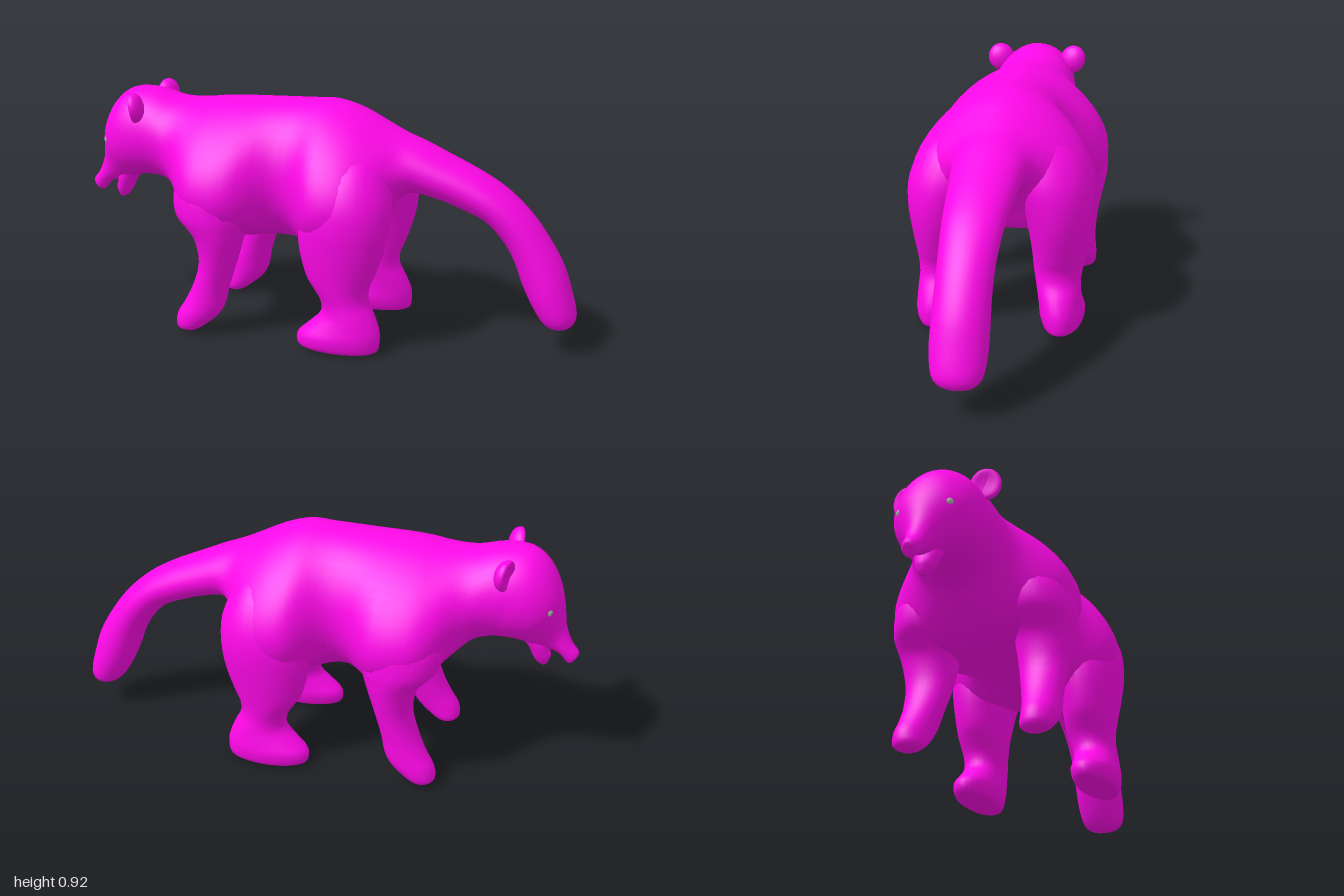
import * as THREE from 'three';

const skin = new THREE.MeshStandardMaterial({ color: 0xff08e8 });
const eyeMaterial = new THREE.MeshStandardMaterial({ color: 0xa0b0a0 });

// Skins rings { c: centre, u, v: half axes }; u x v points along the run of rings
function skinRings(rings, sides, shape = (p) => p) {
  const pos = [], index = [];
  for (const { c, u, v } of rings) {
    for (let j = 0; j < sides; j++) {
      const a = (j / sides) * Math.PI * 2;
      const p = c.clone().addScaledVector(u, Math.cos(a)).addScaledVector(v, Math.sin(a));
      pos.push(...shape(p, a).toArray());
    }
  }
  for (let i = 0; i < rings.length - 1; i++) {
    for (let j = 0; j < sides; j++) {
      const a = i * sides + j, b = i * sides + (j + 1) % sides;
      index.push(a, b, a + sides, b, b + sides, a + sides);
    }
  }
  // Closing fans
  const last = (rings.length - 1) * sides, n = rings.length * sides;
  pos.push(...rings[0].c.toArray(), ...rings[rings.length - 1].c.toArray());
  for (let j = 0; j < sides; j++) {
    const k = (j + 1) % sides;
    index.push(n, k, j, n + 1, last + j, last + k);
  }
  const g = new THREE.BufferGeometry();
  g.setAttribute('position', new THREE.Float32BufferAttribute(pos, 3));
  g.setIndex(index);
  g.computeVertexNormals();
  return g;
}

// Smoothly adds rows between the given cross-sections
function refine(rows, steps) {
  const out = [];
  const at = (i) => rows[Math.min(Math.max(i, 0), rows.length - 1)];
  for (let i = 0; i < rows.length - 1; i++) {
    for (let s = 0; s < steps; s++) {
      const t = s / steps;
      out.push(rows[i].map((p1, k) => {
        const p0 = at(i - 1)[k], p2 = at(i + 1)[k], p3 = at(i + 2)[k];
        return p1 + 0.5 * t * (p2 - p0 + t * (2 * p0 - 5 * p1 + 4 * p2 - p3 + t * (3 * (p1 - p2) + p3 - p0)));
      }));
    }
  }
  out.push(rows[rows.length - 1]);
  return out;
}

// Rows: top x, top y, bottom x, bottom y, half width
function spineLoft(rows, sides, steps, shape) {
  return skinRings(refine(rows, steps).map(([tx, ty, bx, by, w]) => ({
    c: new THREE.Vector3((tx + bx) / 2, (ty + by) / 2, 0),
    u: new THREE.Vector3((tx - bx) / 2, (ty - by) / 2, 0),
    v: new THREE.Vector3(0, 0, w),
  })), sides, shape);
}

// Rows: height, x from, x to, inner z, outer z
function legLoft(rows, side) {
  return skinRings(refine(rows, 3).map(([y, x0, x1, z0, z1]) => ({
    c: new THREE.Vector3((x0 + x1) / 2, y, side * (z0 + z1) / 2),
    u: new THREE.Vector3((x1 - x0) / 2, 0, 0),
    v: new THREE.Vector3(0, 0, -(z1 - z0) / 2),
  })), 28);
}

// Swells the flanks into shoulders and haunches, fuller towards the belly
function swellFlanks(p, a) {
  const bump = (x, r) => Math.exp(-Math.pow((p.x - x) / r, 4));
  const low = Math.max(0, (0.95 - Math.cos(a)) / 1.3);
  const out = Math.sign(Math.sin(a)) * Math.sqrt(Math.abs(Math.sin(a)));
  p.z += 0.135 * low * out * (bump(-0.37, 0.17) + bump(0.13, 0.168));
  return p;
}

// Snout, head, trunk and tail in one run
const BODY = [
  [-0.995, 0.505, -0.975, 0.48, 0.015],
  [-1.0, 0.525, -0.96, 0.478, 0.028],
  [-0.97, 0.565, -0.925, 0.515, 0.038],
  [-0.945, 0.63, -0.88, 0.53, 0.05],
  [-0.935, 0.7, -0.82, 0.545, 0.085],
  [-0.915, 0.78, -0.76, 0.565, 0.135],
  [-0.87, 0.865, -0.7, 0.567, 0.16],
  [-0.8, 0.918, -0.66, 0.56, 0.168],
  [-0.7, 0.922, -0.61, 0.54, 0.178],
  [-0.6, 0.897, -0.55, 0.49, 0.195],
  [-0.5, 0.895, -0.47, 0.43, 0.22],
  [-0.38, 0.908, -0.38, 0.4, 0.24],
  [-0.2, 0.915, -0.2, 0.38, 0.24],
  [-0.05, 0.92, -0.05, 0.367, 0.235],
  [0.05, 0.922, 0.05, 0.375, 0.24],
  [0.15, 0.893, 0.14, 0.39, 0.235],
  [0.25, 0.845, 0.22, 0.42, 0.205],
  [0.32, 0.812, 0.28, 0.52, 0.16],
  [0.4, 0.78, 0.35, 0.585, 0.138],
  [0.5, 0.735, 0.46, 0.57, 0.125],
  [0.62, 0.68, 0.55, 0.54, 0.115],
  [0.72, 0.62, 0.64, 0.5, 0.107],
  [0.81, 0.54, 0.71, 0.43, 0.1],
  [0.88, 0.45, 0.755, 0.355, 0.098],
  [0.94, 0.35, 0.79, 0.265, 0.1],
  [0.975, 0.25, 0.83, 0.185, 0.1],
  [0.998, 0.16, 0.868, 0.128, 0.088],
  [0.985, 0.118, 0.9, 0.106, 0.06],
  [0.96, 0.105, 0.93, 0.1, 0.02],
];

const JAW = [
  [-0.89, 0.468, -0.875, 0.453, 0.012],
  [-0.9, 0.498, -0.85, 0.465, 0.028],
  [-0.892, 0.52, -0.83, 0.495, 0.04],
  [-0.885, 0.555, -0.81, 0.535, 0.05],
  [-0.86, 0.61, -0.76, 0.585, 0.055],
];

const HIND_LEG = [
  [0.003, 0.03, 0.25, 0.2, 0.29],
  [0.015, -0.02, 0.292, 0.173, 0.318],
  [0.06, -0.025, 0.3, 0.157, 0.33],
  [0.1, 0.015, 0.295, 0.155, 0.325],
  [0.15, 0.065, 0.275, 0.15, 0.318],
  [0.2, 0.065, 0.25, 0.14, 0.315],
  [0.25, 0.035, 0.25, 0.13, 0.322],
  [0.3, 0.005, 0.27, 0.125, 0.33],
  [0.4, -0.02, 0.305, 0.11, 0.345],
  [0.5, -0.025, 0.323, 0.08, 0.356],
  [0.6, -0.01, 0.322, 0.04, 0.345],
  [0.7, 0.04, 0.285, 0.02, 0.295],
  [0.78, 0.1, 0.235, 0.01, 0.2],
];

const FRONT_LEG = [
  [0.012, -0.505, -0.45, 0.21, 0.27],
  [0.03, -0.53, -0.42, 0.185, 0.3],
  [0.08, -0.525, -0.36, 0.178, 0.31],
  [0.13, -0.495, -0.33, 0.17, 0.31],
  [0.2, -0.46, -0.315, 0.155, 0.31],
  [0.3, -0.43, -0.285, 0.135, 0.32],
  [0.4, -0.445, -0.255, 0.12, 0.34],
  [0.45, -0.485, -0.24, 0.11, 0.35],
  [0.5, -0.525, -0.225, 0.09, 0.356],
  [0.6, -0.53, -0.22, 0.06, 0.345],
  [0.7, -0.48, -0.27, 0.03, 0.28],
];

// Rounded ear, hollowed on its forward face
function earGeometry() {
  const g = new THREE.SphereGeometry(1, 20, 14);
  const p = g.attributes.position;
  for (let i = 0; i < p.count; i++) {
    const r = Math.hypot(p.getY(i), p.getZ(i));
    if (p.getX(i) < 0) p.setX(i, p.getX(i) + 0.9 * Math.max(0, 1 - r * r));
  }
  g.scale(0.04, 0.06, 0.056);
  g.computeVertexNormals();
  return g;
}

export function createModel() {
  const model = new THREE.Group();
  model.name = 'animal';
  const add = (name, geometry, material = skin) => {
    const mesh = new THREE.Mesh(geometry, material);
    mesh.name = name;
    model.add(mesh);
    return mesh;
  };

  add('bodyHeadAndTail', spineLoft(BODY, 40, 4, swellFlanks));
  add('lowerJaw', spineLoft(JAW, 16, 3));

  for (const side of [1, -1]) {
    const label = side > 0 ? 'Left' : 'Right';
    add('frontLeg' + label, legLoft(FRONT_LEG, side));
    add('hindLeg' + label, legLoft(HIND_LEG, side));

    const ear = add('ear' + label, earGeometry());
    ear.position.set(-0.73, 0.866, side * 0.158);
    ear.rotation.set(side * 0.4, side * 0.3, 0);

    const eye = add('eye' + label, new THREE.SphereGeometry(0.019, 14, 10), eyeMaterial);
    eye.position.set(-0.88, 0.715, side * 0.091);
  }
  return model;
}
